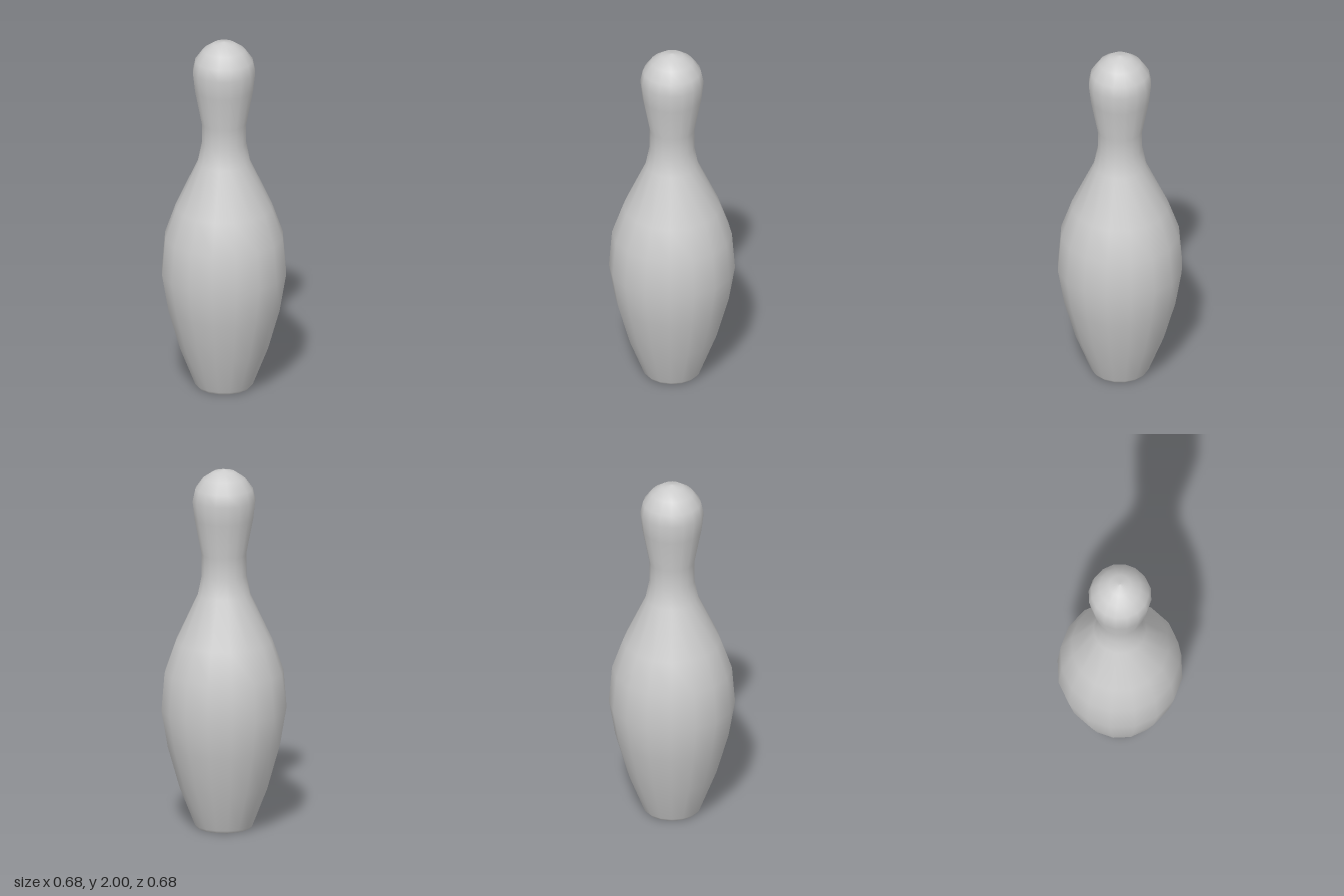
import * as THREE from 'three';

const SIDES = 16;

export function createModel() {
  const group = new THREE.Group();
  group.name = 'bowlingPin';
  const grey = new THREE.MeshStandardMaterial({ color: 0xcccccc });
  grey.name = 'light grey';

  // Turned body: belly, neck and rounded head, listed as [radius, height]
  const profile = [
    [0.145, 0], [0.158, 0.015], [0.243, 0.23], [0.307, 0.455], [0.342, 0.66],
    [0.325, 0.87], [0.265, 1.04], [0.144, 1.3], [0.122, 1.41], [0.122, 1.525],
    [0.16, 1.72], [0.172, 1.825], [0.158, 1.89], [0.115, 1.95], [0.06, 1.987], [0, 2],
  ].map(([r, y]) => new THREE.Vector2(r, y));
  const body = new THREE.Mesh(new THREE.LatheGeometry(profile, SIDES), grey);
  body.name = 'body';
  group.add(body);

  // Flat underside
  const base = new THREE.Mesh(new THREE.CircleGeometry(0.145, SIDES), grey);
  base.name = 'base';
  base.rotation.x = Math.PI / 2;
  group.add(base);

  return group;
}
